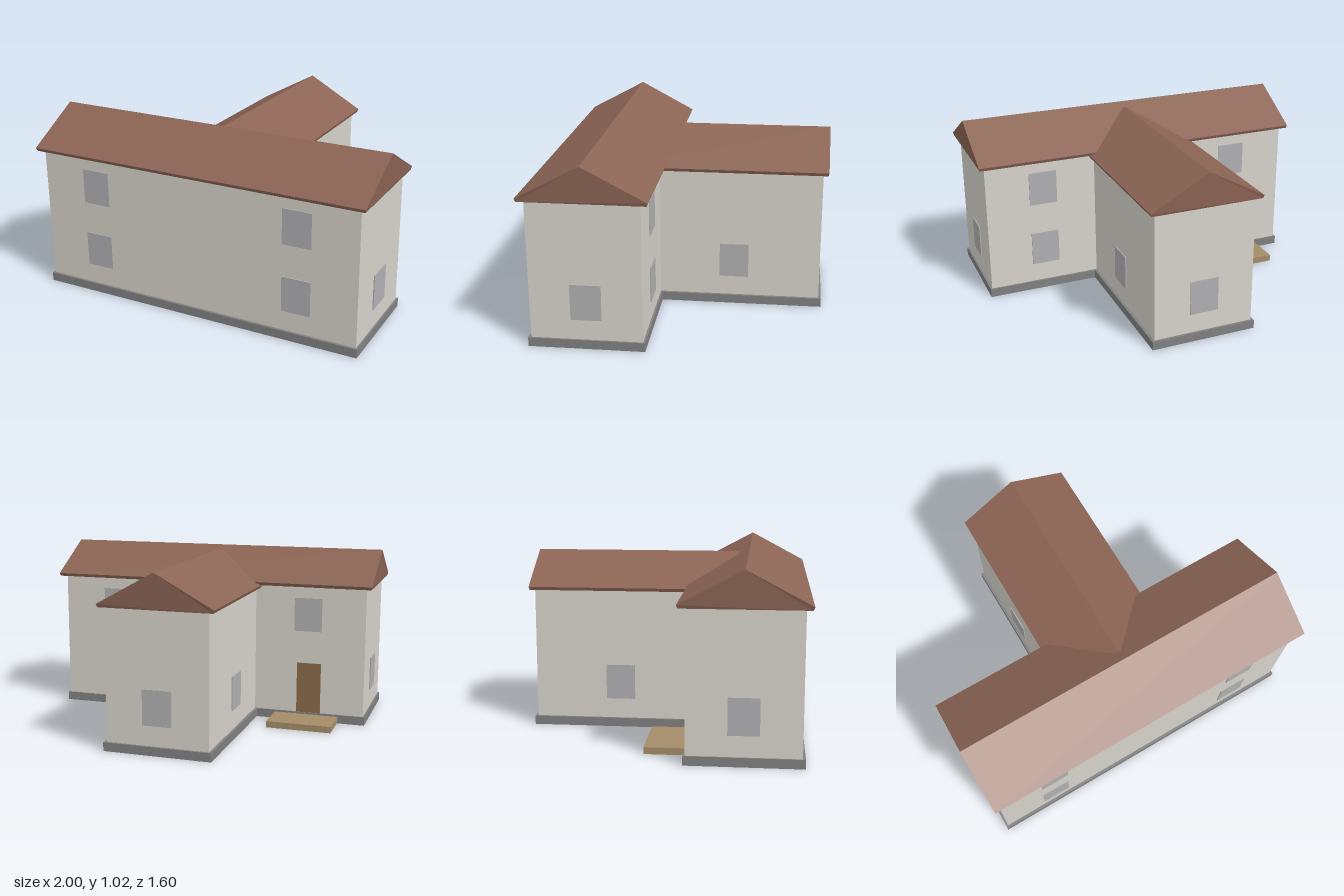
import * as THREE from 'three';

const mat = (color) => new THREE.MeshStandardMaterial({ color, flatShading: true });

export function createModel() {
  const house = new THREE.Group();
  house.name = 'house';
  const wall = mat(0xd6d3ca), stone = mat(0x808080), roof = mat(0x8b6454);
  const glass = mat(0xb0b0b2), wood = mat(0x8b6b4a), deck = mat(0xa48c68);

  // Box given by its two extreme corners
  function box(name, material, [x0, y0, z0], [x1, y1, z1]) {
    const mesh = new THREE.Mesh(new THREE.BoxGeometry(x1 - x0, y1 - y0, z1 - z0), material);
    mesh.position.set((x0 + x1) / 2, (y0 + y1) / 2, (z0 + z1) / 2);
    mesh.name = name;
    house.add(mesh);
  }

  // Solid gable roof along z; its bevelled fascia is slightly inset at the ends
  function gableRoof(name, half, z0, z1) {
    const shape = new THREE.Shape([
      [-half + 0.007, 0], [half - 0.007, 0], [half, 0.018], [0, 0.2], [-half, 0.018],
    ].map(([x, y]) => new THREE.Vector2(x, y)));
    const geo = new THREE.ExtrudeGeometry(shape, { depth: z1 - z0, bevelEnabled: false });
    geo.translate(0, 0, z0);
    const p = geo.attributes.position;
    for (let i = 0; i < p.count; i++) {
      const y = p.getY(i), inset = y < 0.01 ? 0.01 : y < 0.1 ? 0.005 : 0;
      p.setZ(i, p.getZ(i) + (p.getZ(i) > (z0 + z1) / 2 ? -inset : inset));
    }
    geo.computeVertexNormals();
    const mesh = new THREE.Mesh(geo, roof);
    mesh.name = name;
    house.add(mesh);
    return mesh;
  }

  // Foundations and walls
  box('mainFoundation', stone, [-0.97, 0, 0.145], [0.97, 0.05, 0.775]);
  box('wingFoundation', stone, [-0.31, 0, -0.78], [0.31, 0.05, 0.145]);
  box('mainWalls', wall, [-0.96, 0.05, 0.157], [0.96, 0.82, 0.76]);
  box('wingWalls', wall, [-0.295, 0.05, -0.765], [0.295, 0.8, 0.157]);

  // Roofs
  const mainRoof = gableRoof('mainRoof', 0.342, -1, 1);
  mainRoof.rotation.y = Math.PI / 2;
  mainRoof.position.set(0, 0.82, 0.457);
  gableRoof('wingRoof', 0.33, -0.8, 0.4).position.y = 0.8;

  // Windows: thin panes standing just proud of the walls
  const low = [0.165, 0.365], high = [0.55, 0.75], t = 0.006;
  const zWindow = (x, z, [y0, y1]) =>
    box('window', glass, [x - 0.083, y0, z - t], [x + 0.083, y1, z + t]);
  const xWindow = (x, z, [y0, y1]) =>
    box('window', glass, [x - t, y0, z - 0.083], [x + t, y1, z + 0.083]);

  for (const s of [-1, 1]) {
    zWindow(s * 0.617, 0.76, low);
    zWindow(s * 0.617, 0.76, high);
    zWindow(s * 0.617, 0.157, high);
    xWindow(s * 0.96, 0.458, low);
    xWindow(s * 0.295, -0.272, low);
  }
  zWindow(0.617, 0.157, low);
  zWindow(0, -0.765, low);

  // Back door and its porch
  box('door', wood, [-0.7, 0.05, 0.151], [-0.555, 0.355, 0.163]);
  box('porch', deck, [-0.81, 0.002, -0.075], [-0.425, 0.04, 0.145]);

  return house;
}
